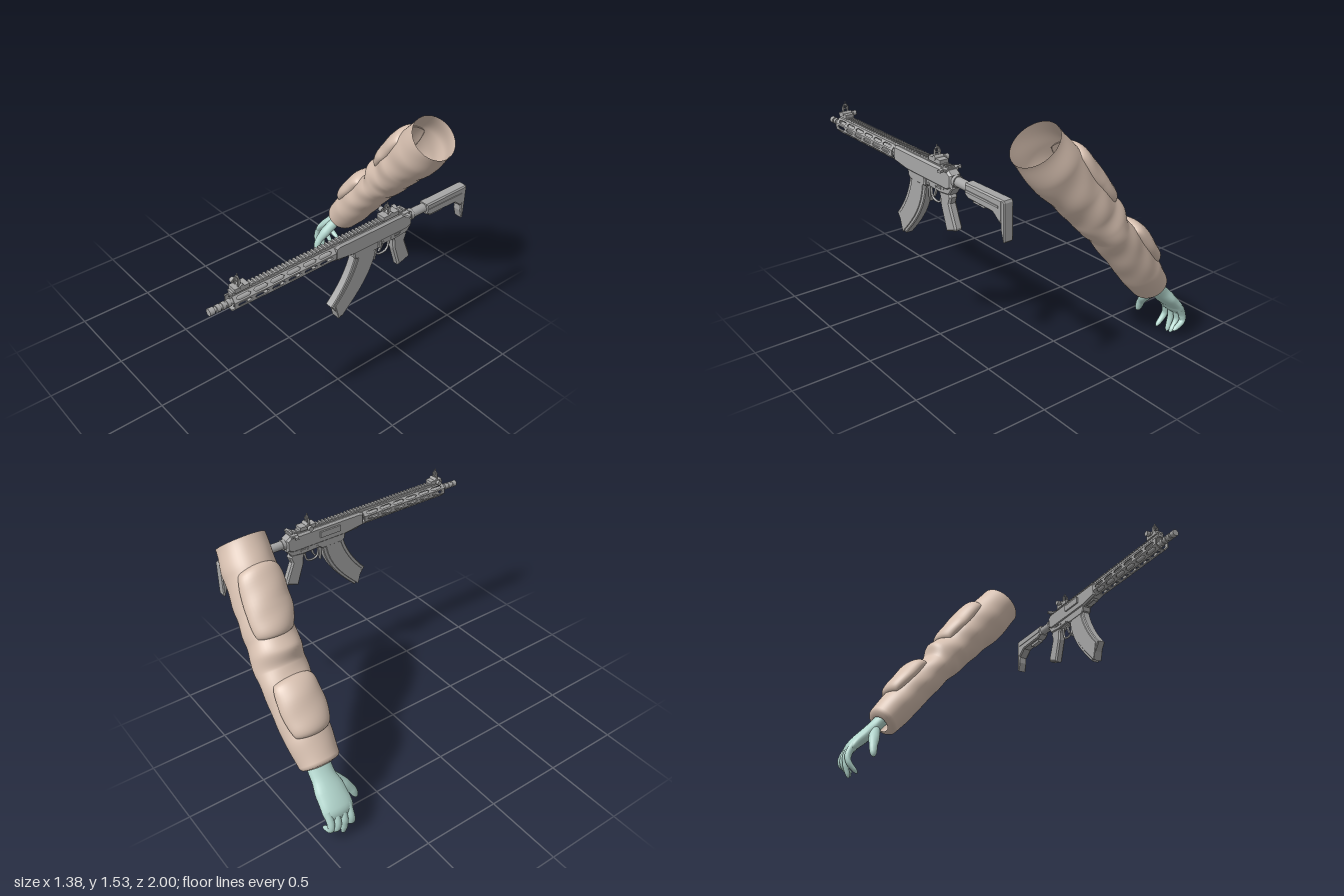
import * as THREE from 'three';
import { ParametricGeometry } from 'three/addons/geometries/ParametricGeometry.js';

const material = (name, color, side = THREE.FrontSide) => {
  const m = new THREE.MeshStandardMaterial({ color, side });
  m.name = name;
  return m;
};
const cloth = material('tan cloth', 0xd8c1b1, THREE.DoubleSide);
const skin = material('pale teal skin', 0xb4d8cf);
const metal = material('grey metal', 0xa6a6a6);

function add(group, name, geometry, mat = metal, x = 0, y = 0, z = 0) {
  const mesh = new THREE.Mesh(geometry, mat);
  mesh.name = name;
  mesh.position.set(x, y, z);
  group.add(mesh);
  return mesh;
}

// Smooth lookup in rows of [t, a, b, ...]
function lookup(rows, t, column) {
  let i = 0;
  while (i < rows.length - 2 && t > rows[i + 1][0]) i++;
  const k = THREE.MathUtils.smoothstep(t, rows[i][0], rows[i + 1][0]);
  return THREE.MathUtils.lerp(rows[i][column], rows[i + 1][column], k);
}

// ---------- Sleeve: distance along arm, outer and inner reach, z centre, z radius
const armLength = 1.346;
const sleeveRows = [
  [0, .104, .113, -.847, .125], [.2, .12, .122, -.85, .143], [.4, .128, .115, -.848, .152],
  [.6, .112, .115, -.843, .155], [.69, .156, .124, -.838, .157], [.79, .138, .131, -.828, .155],
  [.95, .152, .142, -.81, .157], [1.18, .157, .162, -.79, .159], [armLength, .15, .146, -.775, .15]];

function sleevePoint(t, angle, lift, target) {
  const c = Math.cos(angle), s = Math.sin(angle);
  const fade = Math.sin(Math.PI * Math.min(1, Math.max(0, t / armLength)));
  const fold = 1 + .016 * fade * (Math.sin(19 * t + 2 * angle) + Math.sin(33 * t - 3 * angle));
  const n = c * (lookup(sleeveRows, t, c > 0 ? 1 : 2) * fold + lift);
  const z = lookup(sleeveRows, t, 3) + s * (lookup(sleeveRows, t, 4) * fold + lift);
  target.set(-.45 + .635 * t - .772 * n, .4 + .772 * t + .635 * n, z);
}

function buildSleeve(group) {
  const tube = new ParametricGeometry((u, v, p) => {
    // Cuff rolls inward at the wrist
    const roll = Math.min(1, v / .025);
    const lift = -.05 * (1 - Math.sqrt(1 - (1 - roll) ** 2));
    sleevePoint(v * armLength, u * Math.PI * 2, lift, p);
  }, 48, 110);
  add(group, 'sleeve', tube, cloth);

  // Raised pads over the forearm and upper arm
  for (const [name, t0, t1, height] of [['forearmPad', .185, .54, .042], ['upperArmPad', .765, 1.18, .036]]) {
    const pad = new ParametricGeometry((u, v, p) => {
      const a = Math.sin((u - .5) * Math.PI), b = Math.sin((v - .5) * Math.PI);
      const across = a * Math.sqrt(1 - .3 * b * b), along = b * Math.sqrt(1 - .2 * a * a);
      const rise = Math.sqrt(Math.max(0, (1 - a ** 6) * (1 - b ** 6)));
      sleevePoint((t0 + t1) / 2 + along * (t1 - t0) / 2, across * 1.02, -.008 + (height + .008) * rise, p);
    }, 26, 26);
    add(group, name, pad, cloth);
  }
}

// ---------- Hand: rounded limbs, each row [x, y, z, thickness radius, width radius]
function limb(rows, roundFrom) {
  const path = new THREE.CatmullRomCurve3(rows.map(r => new THREE.Vector3(r[0], r[1], r[2])));
  const size = rows.map((r, i) => [i / (rows.length - 1), r[3], r[4]]);
  const side = new THREE.Vector3(), up = new THREE.Vector3();
  return new ParametricGeometry((u, v, p) => {
    // Rows bunch up towards the rounded tip
    const s = Math.min(1, Math.sin(v * Math.PI / 2));
    const tangent = path.getTangent(s);
    side.set(0, 0, 1).addScaledVector(tangent, -tangent.z).normalize();
    up.crossVectors(side, tangent);
    const e = Math.max(0, (s - roundFrom) / (1 - roundFrom));
    const tip = Math.max(.02, Math.sqrt(Math.max(0, 1 - e * e)));
    const angle = u * Math.PI * 2;
    p.copy(path.getPoint(s))
      .addScaledVector(up, Math.cos(angle) * tip * lookup(size, s, 1))
      .addScaledVector(side, Math.sin(angle) * tip * lookup(size, s, 2));
  }, 20, 28);
}

function buildHand(group) {
  add(group, 'palm', limb([
    [-.42, .45, -.865, .045, .075], [-.49, .365, -.867, .043, .076], [-.56, .29, -.865, .043, .095],
    [-.625, .22, -.865, .037, .1], [-.658, .15, -.867, .026, .092]], .8), skin);
  const fingers = [
    ['indexFinger', -.8, -.786, -.6, .025], ['middleFinger', -.845, -.843, -.637, .004],
    ['ringFinger', -.89, -.895, -.605, .03], ['littleFinger', -.935, -.94, -.585, .07]];
  for (const [name, z0, z1, x, y] of fingers) {
    add(group, name, limb([
      [-.625, .225, z0, .026, .025], [-.662, .15, z0, .023, .022],
      [-.662, .09 + y * .3, (z0 + z1) / 2, .019, .02], [x, y, z1, .013, .015]], .88), skin);
  }
  add(group, 'thumb', limb([
    [-.49, .335, -.82, .036, .036], [-.515, .26, -.755, .036, .034],
    [-.535, .19, -.705, .027, .025], [-.54, .115, -.677, .021, .019]], .85), skin);
}

// ---------- Rifle helpers: side outlines are [z, y], extruded across x
function extrudeSide(shape, width, bevel = .004) {
  const g = new THREE.ExtrudeGeometry(shape, {
    depth: width - 2 * bevel, bevelEnabled: bevel > 0, bevelSize: bevel, bevelThickness: bevel,
    bevelOffset: -bevel, bevelSegments: 1, curveSegments: 10 });
  return g.translate(0, 0, bevel - width / 2).rotateY(-Math.PI / 2);
}
const outline = pts => new THREE.Shape(pts.map(([z, y]) => new THREE.Vector2(z, y)));
const box = (w, h, d) => new THREE.BoxGeometry(w, h, d);
const rod = (r, length, sides = 16) => new THREE.CylinderGeometry(r, r, length, sides).rotateX(Math.PI / 2);
const pin = (r, length) => new THREE.CylinderGeometry(r, r, length, 12).rotateZ(Math.PI / 2);

function magazineShape(inset) {
  const s = new THREE.Shape();
  s.moveTo(.035 - inset, 1.12);
  s.bezierCurveTo(.055 - inset, .99, .13 - inset, .88, .205 - inset, .8);
  s.lineTo(.122 + inset, .69);
  s.bezierCurveTo(.0 + inset, .81, -.12 + inset, .93, -.122 + inset, 1.12);
  return s;
}

function buildRifle(rifle) {
  // Barrel and muzzle
  add(rifle, 'barrel', rod(.016, .75), metal, 0, 1.173, .57);
  add(rifle, 'muzzle', rod(.014, .13), metal, 0, 1.173, .935);
  for (const [z, length] of [[.985, .03], [.945, .022], [.912, .02], [.88, .022]])
    add(rifle, 'muzzleRing', rod(.021, length), metal, 0, 1.173, z);

  // Eight slotted panels form the handguard
  const panel = outline([[.2, -.0195], [.87, -.0195], [.87, .0195], [.2, .0195]]);
  for (let i = 0; i < 6; i++) {
    const z = .225 + i * .107;
    panel.holes.push(new THREE.Path([[z, 0], [z + .012, .01], [z + .078, .01], [z + .09, 0],
      [z + .078, -.01], [z + .012, -.01]].map(q => new THREE.Vector2(...q))));
  }
  const panelGeometry = extrudeSide(panel, .007, 0).translate(.0435, 0, 0);
  for (let i = 0; i < 8; i++)
    add(rifle, 'handguardPanel', panelGeometry, metal, 0, 1.173, 0).rotation.z = i * Math.PI / 4;

  // Toothed top rail
  add(rifle, 'topRail', box(.036, .022, 1.2), metal, 0, 1.222, .265);
  for (let i = 0; i < 50; i++)
    add(rifle, 'railTooth', box(.042, .009, .013), metal, 0, 1.237, -.33 + i * .0243);

  // Receivers
  add(rifle, 'upperReceiver', extrudeSide(outline([[.2, 1.13], [.2, 1.215], [.17, 1.225],
    [-.35, 1.225], [-.38, 1.205], [-.38, 1.13], [-.34, 1.11], [.06, 1.11]]), .076, .012));
  add(rifle, 'lowerReceiver', extrudeSide(outline([[.06, 1.13], [.052, 1.08], [.03, 1.065],
    [-.125, 1.065], [-.14, 1.08], [-.26, 1.075], [-.35, 1.085], [-.385, 1.13], [-.37, 1.15], [-.02, 1.15]]), .064, .006));
  add(rifle, 'handStop', extrudeSide(outline([[.17, 1.135], [.16, 1.11], [.08, 1.105], [.07, 1.135]]), .04));
  add(rifle, 'portCover', box(.014, .04, .15), metal, -.042, 1.175, -.065);
  add(rifle, 'boltCatch', box(.012, .04, .02), metal, .036, 1.1, -.13);
  add(rifle, 'chargingHandle', extrudeSide(outline([[-.3, 1.215], [-.3, 1.232], [-.345, 1.232], [-.345, 1.215]]), .09));
  for (const s of [-1, 1])
    add(rifle, 'chargingLatch', box(.04, .014, .022), metal, s * .053, 1.223, -.318).rotation.y = s * .3;
  for (const [z, y] of [[-.16, 1.095], [-.225, 1.1], [-.3, 1.11], [.03, 1.13]])
    add(rifle, 'receiverPin', pin(.008, .07), metal, 0, y, z);
  add(rifle, 'selector', box(.076, .01, .035), metal, 0, 1.105, -.265);

  // Curved magazine with a raised inner band
  add(rifle, 'magazine', extrudeSide(magazineShape(0), .052, .005));
  add(rifle, 'magazineBand', extrudeSide(magazineShape(.025), .06, .003));

  // Trigger, guard and grip
  const guard = new THREE.CatmullRomCurve3([[1.075, -.135], [1.01, -.145], [.995, -.165], [.995, -.21],
    [1.01, -.228], [1.075, -.24]].map(([y, z]) => new THREE.Vector3(0, y, z)));
  add(rifle, 'triggerGuard', new THREE.TubeGeometry(guard, 24, .007, 6));
  add(rifle, 'trigger', extrudeSide(outline([[-.18, 1.08], [-.172, 1.04], [-.158, 1.015], [-.168, 1.012],
    [-.185, 1.04], [-.198, 1.08]]), .012, 0));
  add(rifle, 'magazineRelease', extrudeSide(outline([[-.118, 1.07], [-.122, .975], [-.13, .975], [-.14, 1.07]]), .02, 0));
  add(rifle, 'grip', extrudeSide(outline([[-.24, 1.09], [-.255, 1.05], [-.26, 1.0], [-.305, .87], [-.31, .855],
    [-.395, .885], [-.398, .9], [-.345, 1.03], [-.36, 1.07], [-.34, 1.1]]), .052, .01));

  // Stock tube and stock
  add(rifle, 'stockTube', rod(.028, .4, 20), metal, 0, 1.172, -.56);
  add(rifle, 'tubeNut', rod(.034, .022, 20), metal, 0, 1.172, -.39);
  add(rifle, 'stock', extrudeSide(outline([[-.5, 1.205], [-.815, 1.208], [-.815, 1.1], [-.8, 1.075],
    [-.74, 1.12], [-.53, 1.123], [-.5, 1.14]]), .066, .008));
  add(rifle, 'stockRib', box(.074, .012, .28), metal, 0, 1.165, -.65);
  add(rifle, 'buttPlate', extrudeSide(outline([[-.8, 1.208], [-.828, 1.208], [-.835, 1.195], [-.835, .985],
    [-.825, .975], [-.805, 1.035]]), .06, .006));
  add(rifle, 'stockLever', box(.03, .02, .1), metal, 0, 1.115, -.6);

  // Folding sights
  for (const [name, z, depth] of [['frontSight', .81, .09], ['rearSight', -.215, .115]]) {
    const sight = new THREE.Group();
    sight.name = name;
    sight.position.set(0, 1.24, z);
    add(sight, 'sightBase', box(.055, .026, depth), metal, 0, .008, 0);
    add(sight, 'sightHinge', pin(.014, .06), metal, 0, .02, 0);
    for (const s of [-1, 1]) add(sight, 'sightPost', box(.007, .045, .016), metal, s * .015, .04, .01);
    add(sight, 'sightRing', new THREE.TorusGeometry(.014, .0045, 6, 16), metal, 0, .062, .01);
    add(sight, 'sightBlade', box(.006, .034, .006), metal, 0, .074, .01);
    add(sight, 'sightKnob', pin(.016, .022), metal, -.053, .012, 0);
    add(sight, 'knobShaft', pin(.007, .05), metal, -.03, .012, 0);
    rifle.add(sight);
  }
}

export function createModel() {
  const model = new THREE.Group();
  model.name = 'armAndRifle';
  const arm = new THREE.Group(), hand = new THREE.Group(), rifle = new THREE.Group();
  arm.name = 'arm';
  hand.name = 'hand';
  rifle.name = 'rifle';
  buildSleeve(arm);
  buildHand(hand);
  buildRifle(rifle);
  rifle.position.x = .617;
  arm.add(hand);
  model.add(arm, rifle);
  return model;
}
